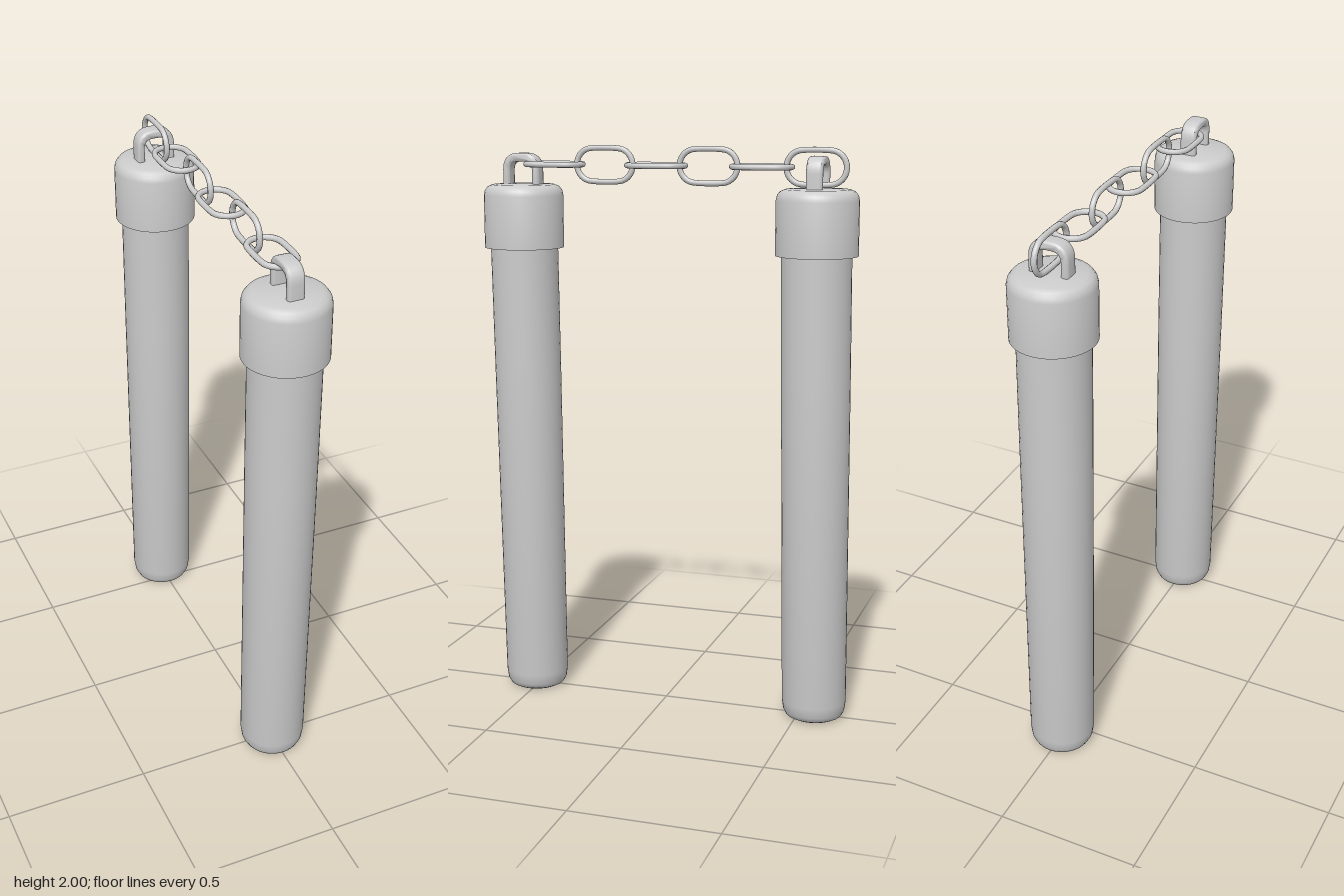
import * as THREE from 'three';
import { toCreasedNormals } from 'three/addons/utils/BufferGeometryUtils.js';

const material = new THREE.MeshStandardMaterial({ color: 0xcccccc });

function mesh(name, geometry) {
  const m = new THREE.Mesh(geometry, material);
  m.name = name;
  return m;
}

// Turned solid from [radius, y] pairs, with hard edges kept crisp
function turned(points) {
  const profile = points.map(([r, y]) => new THREE.Vector2(r, y));
  return toCreasedNormals(new THREE.LatheGeometry(profile, 40), 0.8);
}

// Stadium-shaped loop lying in the xz plane, long along z
function linkGeometry() {
  const end = 0.057, half = 0.046, points = [];
  for (const s of [1, -1]) {
    for (let i = 0; i <= 8; i++) {
      const a = (i / 8) * Math.PI;
      points.push(new THREE.Vector3(s * end * Math.cos(a), 0, s * (half + end * Math.sin(a))));
    }
  }
  const path = new THREE.CatmullRomCurve3(points, true, 'centripetal');
  return new THREE.TubeGeometry(path, 64, 0.01, 10, true);
}

// Arched strap in the xy plane, standing on y = 0
function stapleGeometry() {
  const arch = (shape, w, top, r) => {
    shape.moveTo(-w, -0.03);
    shape.lineTo(-w, top - r);
    shape.quadraticCurveTo(-w, top, -w + r, top);
    shape.lineTo(w - r, top);
    shape.quadraticCurveTo(w, top, w, top - r);
    shape.lineTo(w, -0.03);
  };
  const outer = new THREE.Shape();
  arch(outer, 0.06, 0.1, 0.05);
  const inner = new THREE.Path();
  arch(inner, 0.05, 0.086, 0.04);
  const points = [...outer.getPoints(8), ...inner.getPoints(8).reverse()];
  const g = new THREE.ExtrudeGeometry(new THREE.Shape(points), {
    depth: 0.036, bevelThickness: 0.01, bevelSize: 0.008, bevelSegments: 3,
  });
  return toCreasedNormals(g.translate(0, 0, -0.018), 0.9);
}

// Handle with its end cap and staple
function createStick(name, z, stapleTurn) {
  const stick = new THREE.Group();
  stick.name = name;
  stick.position.z = z;

  const handle = turned([
    [0, 0], [0.085, 0], [0.1, 0.008], [0.109, 0.025], [0.114, 0.06],
    [0.119, 1.2], [0.12, 1.7],
  ]);
  // The handle leans slightly backwards towards its foot
  const p = handle.attributes.position;
  for (let i = 0; i < p.count; i++) p.setZ(i, p.getZ(i) + (p.getY(i) - 1.64) * 0.0135);
  stick.add(mesh('handle', handle));

  stick.add(mesh('endCap', turned([
    [0.1, 1.64], [0.141, 1.64], [0.141, 1.825], [0.137, 1.842],
    [0.127, 1.855], [0.11, 1.862], [0, 1.866],
  ])));

  const staple = mesh('staple', stapleGeometry());
  staple.position.y = 1.864;
  staple.rotation.y = stapleTurn;
  stick.add(staple);
  return stick;
}

export function createModel() {
  const model = new THREE.Group();
  model.name = 'chainedSticks';
  model.add(createStick('frontStick', 0.534, Math.PI / 2));
  model.add(createStick('backStick', -0.533, 0));

  // Links alternate between lying flat and standing upright
  const chain = new THREE.Group();
  chain.name = 'chain';
  const geometry = linkGeometry();
  for (let i = 0; i < 6; i++) {
    const link = mesh('chainLink', geometry);
    link.position.set(0.006, 1.934, 0.412 - i * 0.188);
    link.rotation.z = i % 2 ? Math.PI / 2 : 0;
    chain.add(link);
  }
  model.add(chain);
  return model;
}
